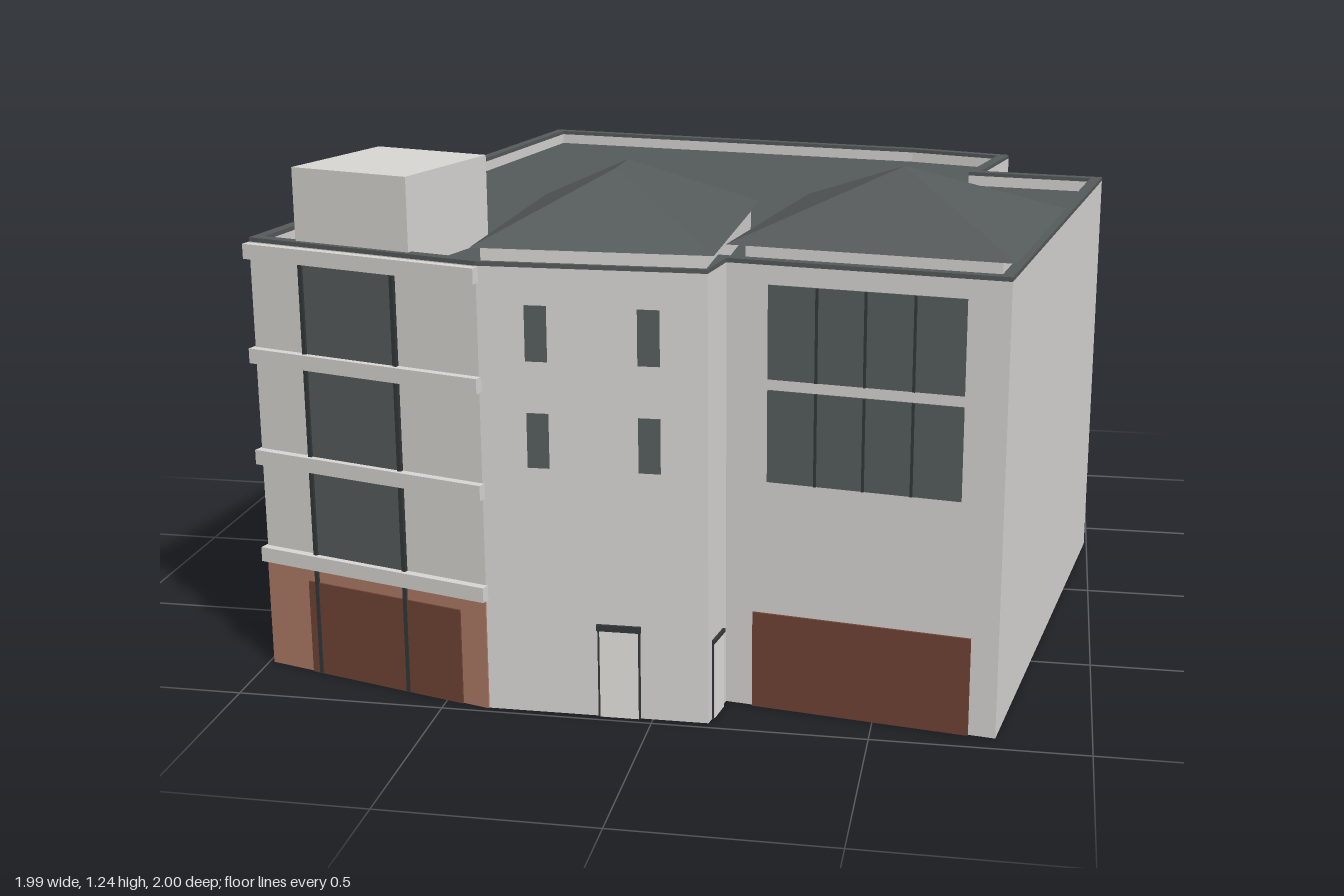
import * as THREE from 'three';

const mat = (name, color) => Object.assign(new THREE.MeshStandardMaterial({ color }), { name });

export function createModel() {
  const root = new THREE.Group();
  root.name = 'cornerBuilding';
  const wall = mat('pale render', 0xd9d7d4);
  const slate = mat('slate', 0x555a5b);
  const glass = mat('window glass', 0x575d5e);
  const frame = mat('dark frame', 0x343839);
  const brick = mat('brick', 0xb07c68);
  const shutter = mat('brown shutter', 0x714336);
  const doorMat = mat('door panel', 0xe4e2df);

  // Footprint, starting at the left front corner
  const W = [-0.987, 0.81], P = [-0.39, 0.98], Q = [0.13, 0.978], G = [0.15, 0.852], F = [0.783, 0.948],
    E = [0.993, -0.367], D = [0.662, -0.417], C = [0.73, -0.715], B = [0.45, -0.805], A = [-0.7, -0.998];
  const plan = [W, P, Q, G, F, E, D, C, B, A];

  // Outline moved inwards by d, with mitred corners
  const normal = (a, b) => {
    const l = Math.hypot(b[0] - a[0], b[1] - a[1]);
    return [(a[1] - b[1]) / l, (b[0] - a[0]) / l];
  };
  const inset = (pts, d) => pts.map((p, i) => {
    const m = normal(pts.at(i - 1), p), k = normal(p, pts[(i + 1) % pts.length]);
    const s = d / (1 + m[0] * k[0] + m[1] * k[1]);
    return [p[0] - s * (m[0] + k[0]), p[1] - s * (m[1] + k[1])];
  });
  const vecs = pts => pts.map(p => new THREE.Vector2(p[0], p[1]));

  // Vertical prism over a plan outline, optionally hollow
  function prism(name, pts, y0, y1, material, hole) {
    const shape = new THREE.Shape(vecs(pts));
    if (hole) shape.holes.push(new THREE.Path(vecs(hole).reverse()));
    const geo = new THREE.ExtrudeGeometry(shape, { depth: y1 - y0, bevelEnabled: false });
    geo.rotateX(Math.PI / 2).translate(0, y1, 0);
    const mesh = new THREE.Mesh(geo, material);
    mesh.name = name;
    root.add(mesh);
  }

  // Shell open at the bottom, sunken flat roof, dark parapet coping
  const inner = inset(plan, 0.028);
  prism('outerWalls', plan, 0, 1.058, wall, inner);
  prism('parapetCoping', plan, 1.058, 1.068, slate, inner);
  prism('flatRoof', inset(plan, 0.027), 1.01, 1.03, slate);

  // Hipped pavilion roofs: corners front-left, front-right, back-right, back-left
  function hipRoof(name, c, ridge, y0, y1) {
    const [fl, fr, br, bl] = c.map(p => [p[0], y0, p[1]]);
    const [rf, rb] = ridge.map(p => [p[0], y1, p[1]]);
    const tris = [fl, fr, rf, fr, br, rb, fr, rb, rf, br, bl, rb, bl, fl, rf, bl, rf, rb, fl, bl, br, fl, br, fr];
    const geo = new THREE.BufferGeometry();
    geo.setAttribute('position', new THREE.Float32BufferAttribute(tris.flat(), 3));
    geo.computeVertexNormals();
    const mesh = new THREE.Mesh(geo, slate);
    mesh.name = name;
    root.add(mesh);
  }
  const pav1 = [[-0.4, 0.988], [0.145, 0.988], [0.145, 0.32], [-0.4, 0.32]];
  const pav2 = [[0.15, 0.86], [0.79, 0.96], [0.893, 0.3], [0.253, 0.2]];
  prism('centrePavilionWall', inset(pav1, 0.019), 1.02, 1.102, wall);
  prism('rightPavilionWall', inset(pav2, 0.035), 1.02, 1.102, wall);
  hipRoof('centrePavilionRoof', pav1, [[-0.128, 0.715], [-0.128, 0.59]], 1.1, 1.24);
  hipRoof('rightPavilionRoof', pav2, [[0.521, 0.581], [0.521, 0.579]], 1.1, 1.24);

  // Rooftop plant room
  prism('plantRoom', [[-0.865, 0.83], [-0.565, 0.915], [-0.475, 0.585], [-0.77, 0.5]], 1.02, 1.24, wall);

  // Group placed on wall a-b at fraction f: local x along the wall, z outwards
  function on(name, a, b, f) {
    const g = new THREE.Group();
    g.name = name;
    g.position.set(a[0] + (b[0] - a[0]) * f, 0, a[1] + (b[1] - a[1]) * f);
    g.rotation.y = Math.atan2(a[1] - b[1], b[0] - a[0]);
    root.add(g);
    return g;
  }
  const atX = (a, b, x) => (x - a[0]) / (b[0] - a[0]);
  function box(g, name, w, y0, y1, z0, z1, material, x = 0) {
    const mesh = new THREE.Mesh(new THREE.BoxGeometry(w, y1 - y0, z1 - z0), material);
    mesh.position.set(x, (y0 + y1) / 2, (z0 + z1) / 2);
    mesh.name = name;
    g.add(mesh);
  }

  // Narrow sash window with a thin dark sill
  function sash(a, b, f, y, w = 0.05, h = 0.118) {
    const g = on('sashWindow', a, b, f);
    box(g, 'pane', w, y, y + h, -0.005, 0.004, glass);
    box(g, 'sill', w + 0.024, y - 0.01, y, -0.005, 0.012, frame);
    for (const s of [-1, 1]) box(g, 'jamb', 0.005, y, y + h, -0.005, 0.007, frame, s * w / 2);
  }
  const column = (a, b, f) => [0.37, 0.617, 0.867].forEach(y => sash(a, b, f, y));
  const low = (a, b, f) => sash(a, b, f, 0.178, 0.075, 0.082);

  function door(a, b, f, w = 0.085, h = 0.195, head = 0.008) {
    const g = on('door', a, b, f);
    box(g, 'panel', w - 0.01, 0, h - head, -0.005, 0.005, doorMat);
    box(g, 'surround', w, 0, h, -0.005, 0.003, frame);
    box(g, 'header', w + 0.004, h - head, h, -0.005, 0.007, frame);
    box(g, 'innerFace', w, 0, h, -0.032, -0.026, slate);
  }

  // Left side: six columns
  for (let i = 0; i < 6; i++) {
    const f = 0.112 + 0.1515 * i;
    column(A, W, f);
    if (i !== 2) low(A, W, f);
  }
  door(A, W, 0.495);

  // Back and the notched back corner
  for (const x of [0.21, -0.12, -0.46]) {
    const f = atX(B, A, x);
    column(B, A, f);
    if (x === -0.12) door(B, A, f); else low(B, A, f);
  }
  for (const [a, b, f] of [[C, B, 0.5], [D, C, 0.5], [E, D, 0.48]]) {
    column(a, b, f);
    door(a, b, f);
  }

  // Left front bay: brick base, shutter, tall windows, ledges
  const bay = on('leftFrontBay', W, P, 0.5);
  const len = Math.hypot(P[0] - W[0], P[1] - W[1]);
  const bx = x => (x - (W[0] + P[0]) / 2) * len / (P[0] - W[0]);
  box(bay, 'brickBase', len, 0, 0.27, -0.005, 0.004, brick);
  box(bay, 'bayShutter', 0.43, 0, 0.235, 0, 0.008, shutter, bx(-0.6625));
  for (const y of [0.305, 0.553, 0.803]) {
    box(bay, 'bayWindow', 0.255, y, y + 0.214, -0.005, 0.004, glass, bx(-0.722));
  }
  for (const x of [-0.845, -0.602]) box(bay, 'bayPost', 0.01, 0, 1.02, -0.004, 0.01, frame, bx(x));
  for (const y of [0.27, 0.517, 0.768, 1.02]) {
    box(bay, 'ledge', len + 0.01, y, y + 0.036, -0.01, 0.02, wall);
  }

  // Centre front: four small windows and the entrance
  for (const x of [-0.257, -0.002]) for (const y of [0.597, 0.845]) {
    const g = on('centreWindow', P, Q, atX(P, Q, x));
    box(g, 'pane', 0.05, y, y + 0.128, -0.005, 0.003, glass);
  }
  door(P, Q, atX(P, Q, -0.078), 0.1, 0.228, 0.015);
  door(Q, G, 0.5, 0.075, 0.195);

  // Right front: two window bands and the wide shutter
  const right = on('rightFront', G, F, atX(G, F, 0.468));
  for (const y of [0.555, 0.797]) {
    box(right, 'wideWindow', 0.448, y, y + 0.217, -0.005, 0.003, glass);
    for (const x of [-0.111, 0, 0.111]) box(right, 'mullion', 0.006, y, y + 0.217, -0.004, 0.007, frame, x);
  }
  box(right, 'wideShutter', 0.512, 0, 0.235, -0.005, 0.006, shutter);

  return root;
}
